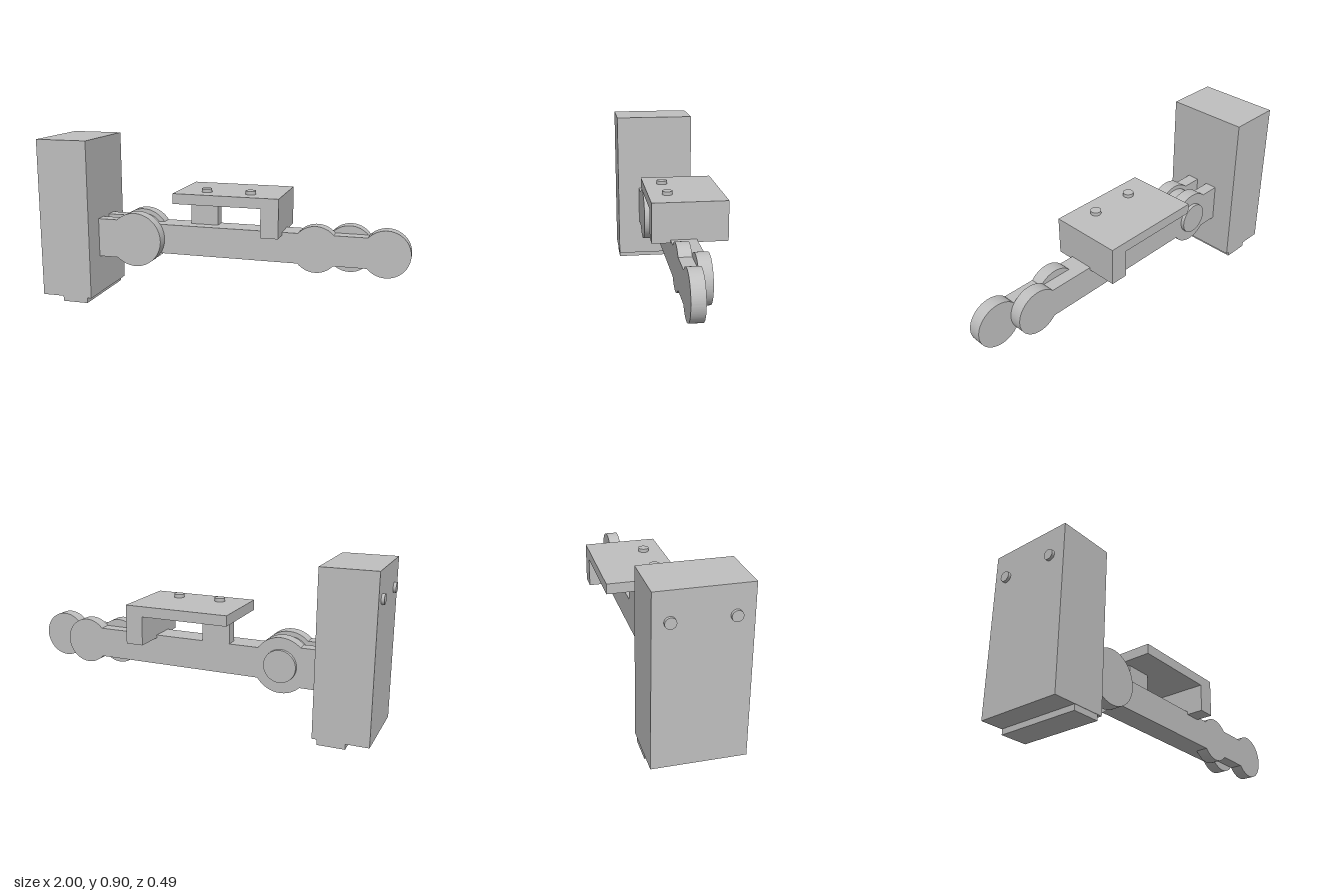
import * as THREE from 'three';
import { toCreasedNormals } from 'three/addons/utils/BufferGeometryUtils.js';

const AXIS_Y = 0.347; // height of the arm's pivot line

export function createModel() {
  const group = new THREE.Group();
  const grey = new THREE.MeshStandardMaterial({ color: 0xbfbfbf });
  grey.name = 'plain grey';

  const add = (name, geometry) => {
    const mesh = new THREE.Mesh(geometry, grey);
    mesh.name = name;
    group.add(mesh);
    return mesh;
  };

  // Box given by its extents
  const box = (name, x0, x1, y0, y1, z0, z1) =>
    add(name, new THREE.BoxGeometry(x1 - x0, y1 - y0, z1 - z0))
      .position.set((x0 + x1) / 2, (y0 + y1) / 2, (z0 + z1) / 2);

  const disc = (name, r, depth, axis, x, y, z) => {
    const g = new THREE.CylinderGeometry(r, r, depth, 40);
    if (axis === 'x') g.rotateZ(Math.PI / 2);
    if (axis === 'z') g.rotateX(Math.PI / 2);
    add(name, g).position.set(x, y, z);
  };

  // Flat plate: round eyes [x, radius, half height of the bar to the right],
  // optionally beginning with a square tab [x, half height]
  const plate = (name, z0, z1, eyes, tab) => {
    const s = new THREE.Shape();
    const last = eyes.length - 1;
    const angle = (h, r) => Math.asin(h / r);
    const leftAngle = (i) => {
      const h = i > 0 ? eyes[i - 1][2] : tab ? tab[1] : 0;
      return Math.PI - angle(h, eyes[i][1]);
    };
    const rightAngle = (i) => (i < last ? angle(eyes[i][2], eyes[i][1]) : 0);
    if (tab) {
      s.moveTo(tab[0], -tab[1]);
      s.lineTo(tab[0], tab[1]);
    } else {
      s.moveTo(eyes[0][0] - eyes[0][1], 0);
    }
    // Upper edge left to right, then lower edge back
    for (let i = 0; i <= last; i++) s.absarc(eyes[i][0], 0, eyes[i][1], leftAngle(i), rightAngle(i), true);
    for (let i = last; i >= 0; i--) s.absarc(eyes[i][0], 0, eyes[i][1], -rightAngle(i), -leftAngle(i), true);
    const g = new THREE.ExtrudeGeometry(s, { depth: z1 - z0, bevelEnabled: false, curveSegments: 28 });
    add(name, toCreasedNormals(g, 0.5)).position.set(0, AXIS_Y, z0);
  };

  // Upright body with its foot and rear screws
  box('body', -0.985, -0.695, 0.03, 0.9, -0.21, 0.247);
  box('foot', -0.865, -0.72, 0, 0.03, -0.207, 0.245);
  for (const z of [-0.13, 0.162]) disc('rearScrew', 0.027, 0.015, 'x', -0.9925, 0.755, z);

  // Three-layer jointed arm
  plate('frontFork', 0.052, 0.119, [[-0.48, 0.149, 0]], [-0.695, 0.107]);
  plate('middleLink', -0.016, 0.052, [[-0.48, 0.125, 0.082], [0.51, 0.125, 0.082], [0.875, 0.125, 0]]);
  plate('rearLink', -0.083, -0.016, [[-0.48, 0.149, 0.082], [0.68, 0.125, 0]], [-0.695, 0.107]);
  disc('pivotCap', 0.087, 0.02, 'z', -0.48, AXIS_Y, -0.093);

  // Raised platform with its supports and studs
  box('platform', -0.245, 0.33, 0.568, 0.624, -0.247, 0.147);
  box('platformLeg', 0.235, 0.33, 0.413, 0.568, -0.247, 0.147);
  box('platformPost', -0.195, -0.042, 0.429, 0.568, -0.083, -0.016);
  for (const x of [-0.085, 0.158]) disc('platformStud', 0.028, 0.019, 'y', x, 0.6335, 0.046);

  return group;
}
